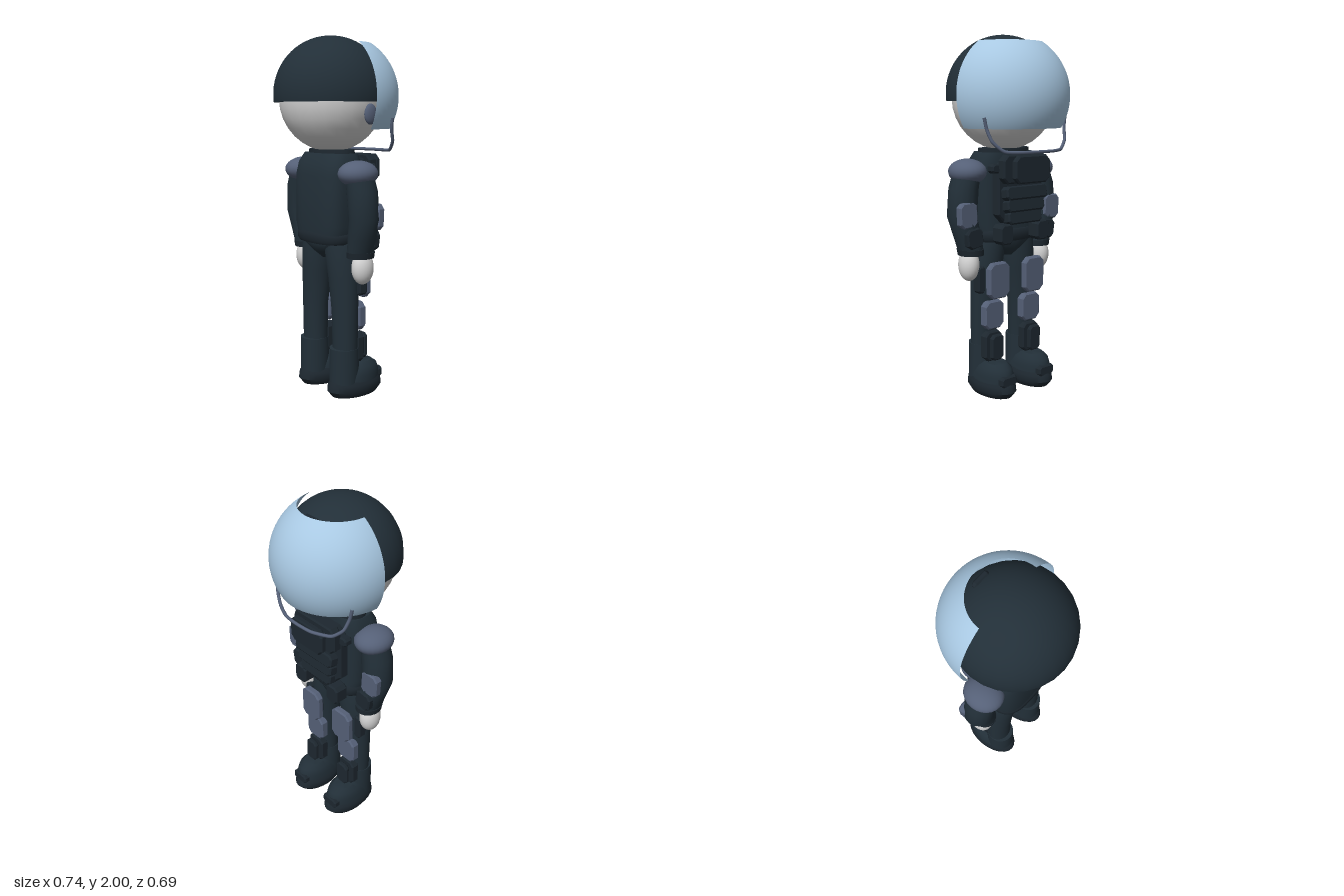
import * as THREE from 'three';
import { toCreasedNormals } from 'three/addons/utils/BufferGeometryUtils.js';

const material = (name, color, side = THREE.FrontSide) => {
  const m = new THREE.MeshStandardMaterial({ color, side });
  m.name = name;
  return m;
};

export function createModel() {
  const uniform = material('dark uniform', 0x222f38);
  const gear = material('dark gear', 0x1d272f);
  const slate = material('slate armour', 0x556077);
  const skin = material('pale grey', 0xd4d4d4);
  const glass = material('pale blue visor', 0xa8c8e2, THREE.DoubleSide);
  const shell = material('helmet shell', 0x222f38, THREE.DoubleSide);
  const model = new THREE.Group();
  model.name = 'armouredFigure';

  const add = (name, geometry, mat, x = 0, y = 0, z = 0) => {
    const mesh = new THREE.Mesh(geometry, mat);
    mesh.name = name;
    mesh.position.set(x, y, z);
    model.add(mesh);
    return mesh;
  };

  // Closed skin through horizontal rings [x, y, z, radiusX, radiusZ], bottom to top
  const loft = (name, mat, rings, side = 1, power = 2, n = 24) => {
    const first = rings[0], last = rings[rings.length - 1];
    const all = [[...first.slice(0, 3), 0.001, 0.001], ...rings, [...last.slice(0, 3), 0.001, 0.001]];
    const points = [], faces = [];
    const bend = v => Math.sign(v) * Math.abs(v) ** (2 / power);
    all.forEach(([x, y, z, rx, rz], i) => {
      for (let j = 0; j < n; j++) {
        const a = j / n * Math.PI * 2;
        points.push(x * side + rx * bend(Math.cos(a)), y, z + rz * bend(Math.sin(a)));
        if (i === all.length - 1) continue;
        const p = i * n + j, q = i * n + (j + 1) % n;
        faces.push(p, p + n, q, q, p + n, q + n);
      }
    });
    const g = new THREE.BufferGeometry();
    g.setAttribute('position', new THREE.Float32BufferAttribute(points, 3));
    g.setIndex(faces);
    return add(name, toCreasedNormals(g, 0.75), mat);
  };

  const ellipsoid = (name, mat, x, y, z, rx, ry, rz) =>
    add(name, new THREE.SphereGeometry(1, 24, 16), mat, x, y, z).scale.set(rx, ry, rz);

  // Plate with cut corners and bevelled edges, centred on its position
  const pad = (name, mat, w, h, d, x, y, z) => {
    const b = Math.min(0.008, d / 4), c = Math.min(w, h) * 0.17;
    const X = w / 2 - b, Y = h / 2 - b;
    const shape = new THREE.Shape([
      [-X + c, -Y], [X - c, -Y], [X, -Y + c], [X, Y - c],
      [X - c, Y], [-X + c, Y], [-X, Y - c], [-X, -Y + c],
    ].map(p => new THREE.Vector2(...p)));
    const g = new THREE.ExtrudeGeometry(shape, {
      depth: d - 2 * b, bevelSize: b, bevelThickness: b, bevelSegments: 1,
    });
    g.translate(0, 0, b - d / 2);
    return add(name, g, mat, x, y, z);
  };

  // Head and helmet
  ellipsoid('head', skin, 0, 1.665, 0.03, 0.288, 0.29, 0.288);
  add('helmet', new THREE.SphereGeometry(0.315, 28, 18, 0, Math.PI * 2, 0, 1.7), shell, 0, 1.685, 0.035);
  add('helmetRim', new THREE.RingGeometry(0.28, 0.312, 28), shell, 0, 1.645, 0.035).rotation.x = Math.PI / 2;
  add('visor', new THREE.SphereGeometry(0.345, 32, 20, Math.PI, Math.PI, 0.6, 1.5), glass, 0, 1.675, 0);
  pad('visorMount', gear, 0.1, 0.05, 0.03, 0, 1.922, -0.162);

  // Chin strap
  const half = [[0.288, 1.56, -0.16], [0.276, 1.5, -0.165], [0.258, 1.435, -0.19], [0.2, 1.385, -0.22], [0.1, 1.38, -0.262]];
  const strap = [...half, [0, 1.38, -0.27], ...half.slice().reverse().map(([x, y, z]) => [-x, y, z])];
  const strapCurve = new THREE.CatmullRomCurve3(strap.map(p => new THREE.Vector3(...p)), false, 'catmullrom', 0.3);
  add('chinStrap', new THREE.TubeGeometry(strapCurve, 60, 0.009, 8), slate);

  // Torso, collar, belt and hips
  loft('vest', uniform, [
    [0, 0.92, 0.05, 0.185, 0.125], [0, 0.98, 0.055, 0.2, 0.125], [0, 1.25, 0.055, 0.2, 0.125],
    [0, 1.32, 0.045, 0.195, 0.118], [0, 1.37, 0.035, 0.17, 0.1],
  ], 1, 3.2, 32);
  loft('collar', gear, [[0, 1.34, 0.03, 0.17, 0.1], [0, 1.39, 0.03, 0.165, 0.095]]);
  loft('belt', gear, [
    [0, 0.88, 0.045, 0.185, 0.13], [0, 0.895, 0.045, 0.195, 0.138],
    [0, 0.93, 0.045, 0.195, 0.138], [0, 0.945, 0.045, 0.185, 0.13],
  ], 1, 2.8, 32);
  loft('hips', uniform, [
    [0, 0.79, 0.03, 0.03, 0.06], [0, 0.83, 0.035, 0.1, 0.1],
    [0, 0.87, 0.04, 0.18, 0.12], [0, 0.93, 0.04, 0.19, 0.12],
  ]);

  // Chest rig: backing, upper plate, front panel and stacked pouches
  pad('rigBacking', gear, 0.32, 0.36, 0.06, 0, 1.16, -0.09);
  pad('chestPlate', gear, 0.32, 0.155, 0.055, 0, 1.285, -0.138);
  pad('chestPanel', gear, 0.25, 0.15, 0.036, 0, 1.285, -0.203);
  add('panelBracket', new THREE.BoxGeometry(0.18, 0.08, 0.04), gear, 0, 1.285, -0.175);
  for (let i = 0; i < 3; i++) {
    pad('magazinePouch', gear, 0.29 - i * 0.025, 0.075, 0.06, 0, 1.155 - i * 0.068, -0.147 + i * 0.008)
      .rotation.x = 0.18;
  }

  for (const s of [1, -1]) {
    // Ear cover
    ellipsoid('earCover', slate, s * 0.283, 1.58, -0.01, 0.02, 0.055, 0.04);

    // Arm
    loft('arm', uniform, [
      [0.243, 0.84, 0.022, 0.068, 0.076], [0.262, 0.92, 0.025, 0.076, 0.08],
      [0.29, 1.03, 0.035, 0.082, 0.082], [0.275, 1.18, 0.038, 0.08, 0.086],
      [0.245, 1.29, 0.04, 0.07, 0.08],
    ], s, 2, 16);
    loft('cuff', gear, [[0.242, 0.815, 0.02, 0.07, 0.077], [0.245, 0.848, 0.021, 0.073, 0.08]], s);
    ellipsoid('hand', skin, s * 0.258, 0.76, 0.018, 0.056, 0.09, 0.064);
    ellipsoid('shoulderPad', slate, s * 0.245, 1.268, 0.042, 0.1, 0.07, 0.113);
    pad('elbowPad', slate, 0.115, 0.14, 0.045, s * 0.302, 1.042, -0.027).rotation.z = s * -0.05;
    pad('forearmPad', gear, 0.105, 0.11, 0.045, s * 0.265, 0.915, -0.035).rotation.z = s * -0.15;

    // Rig side pieces and belt pouches
    pad('rigClip', gear, 0.06, 0.05, 0.05, s * 0.175, 1.29, -0.1);
    pad('beltPouch', gear, 0.09, 0.11, 0.08, s * 0.13, 0.935, -0.12);

    // Leg with pads
    loft('trouserLeg', uniform, [
      [0.138, 0.26, 0.042, 0.076, 0.066], [0.137, 0.5, 0.043, 0.078, 0.07],
      [0.122, 0.7, 0.04, 0.09, 0.085], [0.105, 0.85, 0.04, 0.098, 0.095], [0.1, 0.9, 0.04, 0.09, 0.09],
    ], s);
    pad('thighPad', slate, 0.145, 0.2, 0.042, s * 0.128, 0.67, -0.074);
    add('thighStrap', new THREE.BoxGeometry(0.09, 0.1, 0.03), gear, s * 0.128, 0.67, -0.045);
    pad('kneePad', slate, 0.135, 0.16, 0.05, s * 0.135, 0.47, -0.032);
    pad('shinPad', gear, 0.12, 0.17, 0.05, s * 0.138, 0.29, -0.026);
    pad('shinPlate', gear, 0.085, 0.145, 0.03, s * 0.138, 0.29, -0.075);
    add('shinBracket', new THREE.BoxGeometry(0.05, 0.08, 0.03), gear, s * 0.138, 0.29, -0.055);
    pad('thighHolster', gear, 0.05, 0.15, 0.055, s * 0.21, 0.675, -0.012);

    // Boot
    loft('bootShaft', uniform, [[0.138, 0.1, 0.045, 0.084, 0.086], [0.138, 0.295, 0.05, 0.08, 0.082]], s);
    loft('bootUpper', uniform, [
      [0.138, 0.08, -0.024, 0.096, 0.16], [0.138, 0.14, -0.04, 0.092, 0.145],
      [0.138, 0.18, -0.055, 0.08, 0.115], [0.138, 0.205, -0.06, 0.055, 0.075],
    ], s);
    loft('sole', gear, [
      [0.137, 0.005, -0.027, 0.05, 0.09], [0.137, 0.02, -0.027, 0.085, 0.148],
      [0.137, 0.055, -0.027, 0.105, 0.177], [0.137, 0.09, -0.027, 0.102, 0.172],
      [0.137, 0.115, -0.025, 0.09, 0.155],
    ], s);
    pad('toeGuard', gear, 0.11, 0.06, 0.045, s * 0.138, 0.12, -0.168);
    const patch = add('solePatch', new THREE.CircleGeometry(1, 24), skin, s * 0.137, 0.001, -0.027);
    patch.rotation.x = Math.PI / 2;
    patch.scale.set(0.046, 0.07, 1);
  }
  return model;
}
